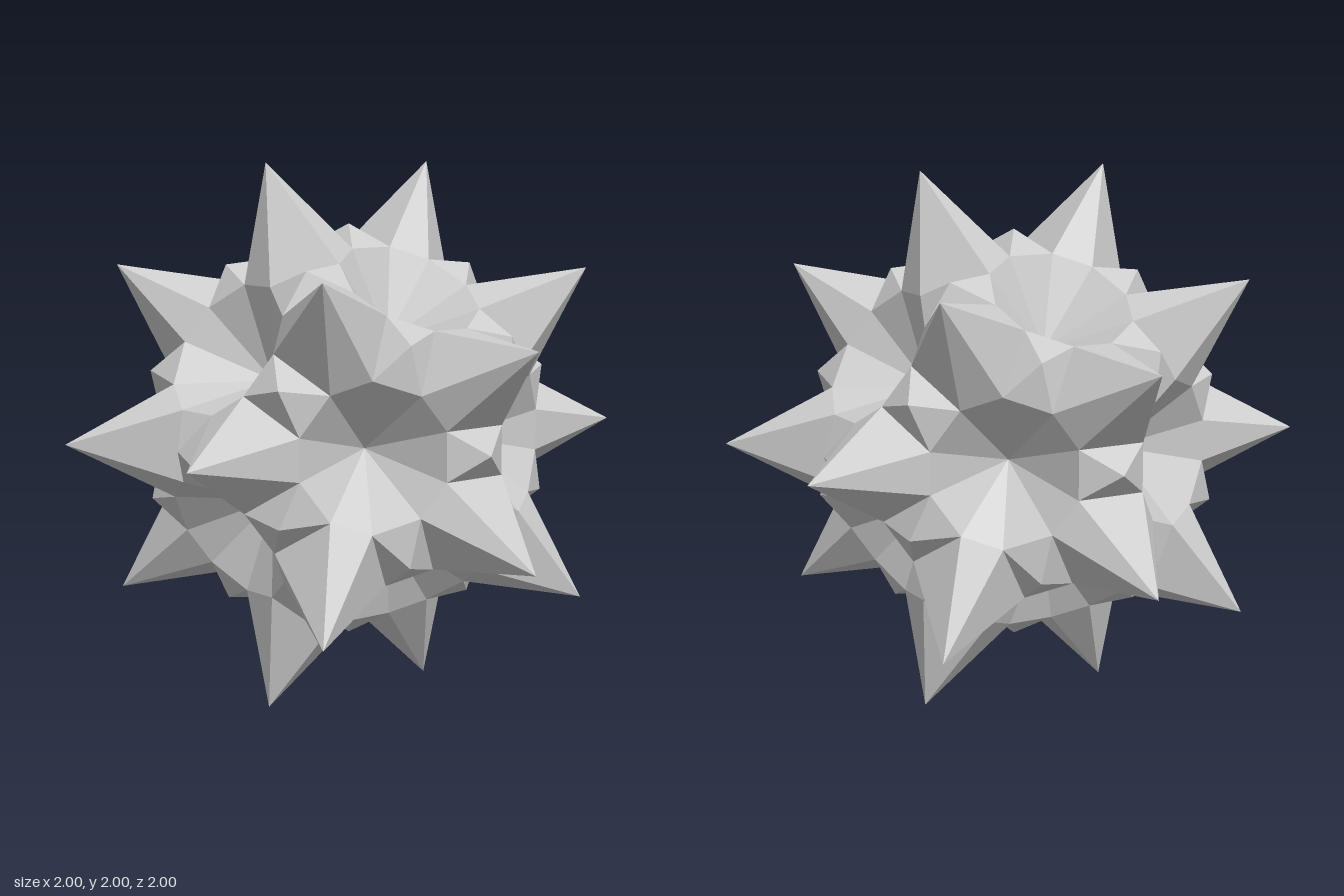
import * as THREE from 'three';

const PHI = (1 + Math.sqrt(5)) / 2;
const V = (x, y, z) => new THREE.Vector3(x, y, z);

// All distinct sign changes and cyclic permutations of the seed points
function expand(seeds) {
  const found = new Map();
  for (const s of seeds)
    for (const [x, y, z] of [[s.x, s.y, s.z], [s.y, s.z, s.x], [s.z, s.x, s.y]])
      for (let m = 0; m < 8; m++) {
        const p = V(m & 1 ? -x : x, m & 2 ? -y : y, m & 4 ? -z : z);
        const key = p.toArray().map((c) => Math.round(c * 1e4)).join();
        if (!found.has(key)) found.set(key, p);
      }
  return [...found.values()];
}

// Fan of triangles from a tip to its n nearest rim points, counter-clockwise from outside
function fan(tip, rim, n) {
  const axis = tip.clone().normalize();
  const ring = [...rim].sort((a, b) => b.dot(axis) - a.dot(axis)).slice(0, n);
  const u = ring[0].clone().addScaledVector(axis, -ring[0].dot(axis)).normalize();
  const w = axis.clone().cross(u);
  const angle = (p) => Math.atan2(p.dot(w), p.dot(u));
  ring.sort((a, b) => angle(a) - angle(b));
  const points = [];
  ring.forEach((p, i) => points.push(tip, p, ring[(i + 1) % n]));
  const geometry = new THREE.BufferGeometry().setFromPoints(points);
  geometry.computeVertexNormals();
  return geometry;
}

export function createModel() {
  const model = new THREE.Group();
  model.name = 'spikedStar';
  const material = new THREE.MeshStandardMaterial({ color: 0xcccccc, flatShading: true });

  // 120 rim points: one corner turned about a five-fold axis, then expanded
  const fiveFold = V(1, 0, PHI).normalize();
  const corners = [];
  for (let k = 0; k < 5; k++)
    corners.push(V(0.13, 0.089, 0.691).applyAxisAngle(fiveFold, (k * 2 * Math.PI) / 5));
  const rim = expand(corners);

  const a = 1 / PHI;
  const parts = [
    // 20 long six-sided spikes
    { name: 'longSpike', sides: 6, seeds: [V(0, a * a, 1), V(a, a, a)] },
    // 30 short four-sided pyramids between them
    { name: 'smallPyramid', sides: 4, seeds: [V(0, 0, 0.775), V(a / 2, 0.5, PHI / 2).multiplyScalar(0.775)] },
    // 12 ten-sided pits sunk into the body
    { name: 'pit', sides: 10, seeds: [V(0.22, 0, 0.22 * PHI)] },
  ];

  for (const { name, sides, seeds } of parts) {
    const group = new THREE.Group();
    group.name = name + 's';
    for (const tip of expand(seeds)) {
      const mesh = new THREE.Mesh(fan(tip, rim, sides), material);
      mesh.name = name;
      group.add(mesh);
    }
    model.add(group);
  }

  model.position.y = 1;
  return model;
}
